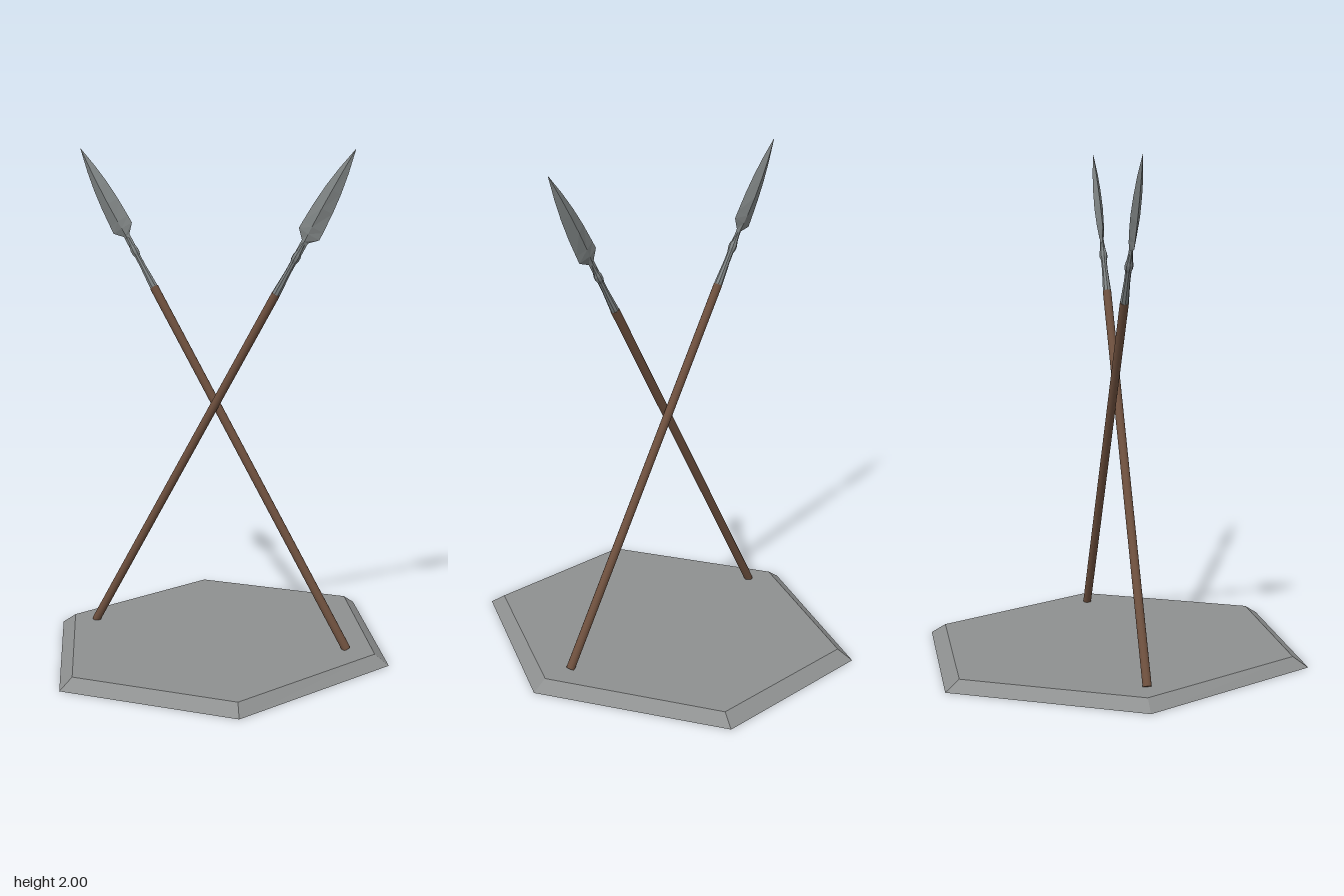
import * as THREE from 'three';

const stone = new THREE.MeshStandardMaterial({ name: 'stone', color: 0x8e9090, side: THREE.DoubleSide });
const steel = new THREE.MeshStandardMaterial({ name: 'steel', color: 0x7f8484 });
const wood = new THREE.MeshStandardMaterial({ name: 'wood', color: 0x6e503e });

function mesh(name, geometry, material) {
  const m = new THREE.Mesh(geometry, material);
  m.name = name;
  return m;
}

// Faceted shell, closed on top and open below, through rings of [x, y, z],
// each anticlockwise seen from above
function loft(rings) {
  const pos = [];
  const n = rings[0].length;
  const tri = (...corners) => corners.forEach((p) => pos.push(...p));
  for (let i = 0; i < rings.length - 1; i++) {
    for (let j = 0; j < n; j++) {
      const k = (j + 1) % n;
      const a = rings[i][j], b = rings[i][k], c = rings[i + 1][k], d = rings[i + 1][j];
      tri(a, b, c);
      tri(a, c, d);
    }
  }
  const top = rings[rings.length - 1];
  for (let j = 1; j < n - 1; j++) tri(top[0], top[j], top[j + 1]);
  const g = new THREE.BufferGeometry();
  g.setAttribute('position', new THREE.Float32BufferAttribute(pos, 3));
  g.computeVertexNormals();
  return g;
}

const HEAD = 0.632;
const SHAFT_RADIUS = 0.0175;

// Diamond-section blade: [distance from socket foot, half width, half thickness]
const BLADE = [
  [0.175, 0.014, 0.010], [0.235, 0.014, 0.008], [0.268, 0.047, 0.012], [0.300, 0.046, 0.015],
  [0.380, 0.042, 0.018], [0.460, 0.034, 0.016], [0.540, 0.021, 0.011], [HEAD, 0.0008, 0.0008],
];

// Socket profile with a raised collar: [radius, height]
const SOCKET = [
  [0.0165, -0.01], [0.0165, 0.01], [0.012, 0.10], [0.012, 0.14], [0.0165, 0.155],
  [0.0165, 0.172], [0.012, 0.187], [0.008, 0.225], [0, 0.235],
];

function makeSpear(name, foot, tip) {
  const spear = new THREE.Group();
  spear.name = name;
  const axis = new THREE.Vector3().subVectors(tip, foot);
  const shaftLength = axis.length() - HEAD;

  const shaft = mesh('shaft',
    new THREE.CylinderGeometry(SHAFT_RADIUS, SHAFT_RADIUS, shaftLength, 12), wood);
  shaft.position.y = shaftLength / 2;

  const socketGeometry = new THREE.LatheGeometry(
    SOCKET.map(([r, y]) => new THREE.Vector2(r, y)), 8).toNonIndexed();
  socketGeometry.computeVertexNormals();
  const socket = mesh('socket', socketGeometry, steel);

  const blade = mesh('blade', loft(BLADE.map(([y, w, t]) =>
    [[w, y, 0], [0, y, -t], [-w, y, 0], [0, y, t]])), steel);

  socket.position.y = blade.position.y = shaftLength;
  spear.add(shaft, socket, blade);
  spear.position.copy(foot);
  spear.rotation.z = -Math.atan2(axis.x, axis.y);
  return spear;
}

export function createModel() {
  const model = new THREE.Group();
  model.name = 'crossedSpears';

  // Six-sided hollow plinth with sloping rim, open underneath
  const hexagon = (y, outer, inner, depth) => [
    [outer, y, 0], [inner, y, -depth], [-inner, y, -depth],
    [-outer, y, 0], [-inner, y, depth], [inner, y, depth],
  ];
  model.add(mesh('base', loft([
    hexagon(0, 0.718, 0.361, 0.716), hexagon(0.04, 0.66, 0.335, 0.66),
  ]), stone));

  // The two spears pass each other, their feet just piercing the plinth top
  const v = (x, y, z) => new THREE.Vector3(x, y, z);
  model.add(makeSpear('frontSpear', v(-0.55, 0.04, 0.022), v(0.555, 2, 0.022)));
  model.add(makeSpear('backSpear', v(0.54, 0.04, -0.013), v(-0.605, 2, -0.013)));
  return model;
}
